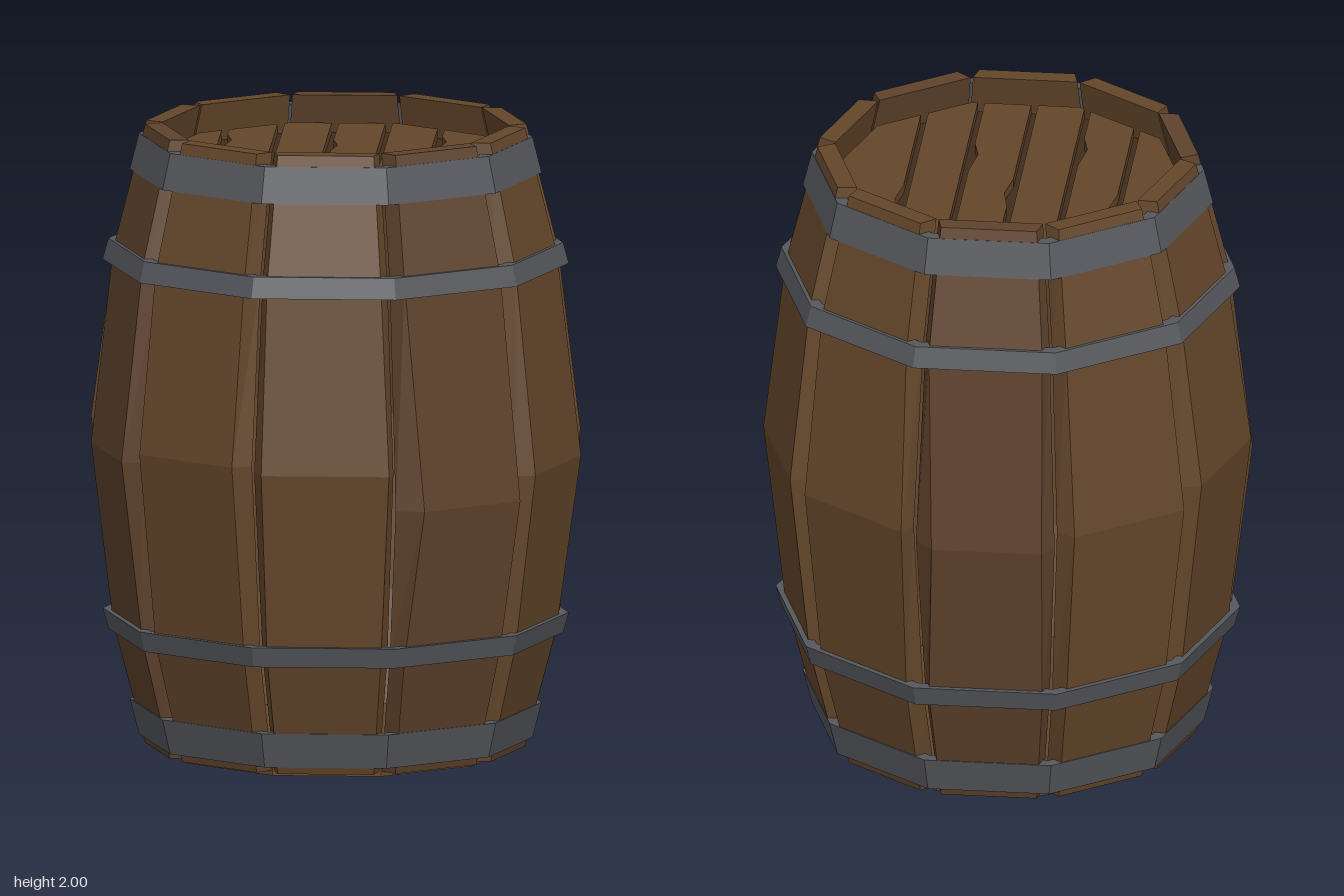
import * as THREE from 'three';

const SIDES = 10;
const STEP = (Math.PI * 2) / SIDES;
const TURN = THREE.MathUtils.degToRad(-6.5); // the whole barrel is turned slightly
const TAN = Math.tan(STEP / 2);

const paint = (color) => new THREE.MeshStandardMaterial({ color, flatShading: true });

// left edge, right edge and height of each stave's belly (hand-cut, so uneven)
const BELLIES = [
  [-0.195, 0.21, 1.0], [-0.15, 0.21, 0.88], [-0.19, 0.21, 0.95], [-0.19, 0.215, 1.02],
  [-0.19, 0.22, 1.0], [-0.165, 0.185, 0.95], [-0.19, 0.21, 1.0], [-0.18, 0.205, 1.05],
  [-0.19, 0.187, 0.98], [-0.19, 0.187, 1.02],
];

// Bowed plank skinned over four-cornered cross-sections
function staveGeometry([left, right, bellyY]) {
  const sections = [ // y, distance from axis, left, right
    [0.015, 0.583, -0.152, 0.152],
    [0.4, 0.68, -0.18, 0.18],
    [bellyY, 0.75, left, right],
    [1.6, 0.68, -0.18, 0.18],
    [2, 0.583, -0.152, 0.152],
  ];
  const pos = [], index = [];
  for (const [y, r, l, rt] of sections) {
    const inner = r - 0.06, w = inner * TAN - 0.004;
    pos.push(l, y, r, rt, y, r, w, y, inner, -w, y, inner);
  }
  for (let i = 0; i < sections.length - 1; i++) {
    for (let j = 0; j < 4; j++) {
      const a = i * 4 + j, b = i * 4 + ((j + 1) % 4);
      index.push(a, b, b + 4, a, b + 4, a + 4);
    }
  }
  const t = (sections.length - 1) * 4;
  index.push(t, t + 1, t + 2, t, t + 2, t + 3, 0, 2, 1, 0, 3, 2);
  const g = new THREE.BufferGeometry();
  g.setAttribute('position', new THREE.Float32BufferAttribute(pos, 3));
  g.setIndex(index);
  g.computeVertexNormals();
  return g;
}

// Ten-sided hoop with a slanted rectangular section
function hoopGeometry(y0, r0, y1, r1) {
  const t = 0.04;
  const profile = [[r0, y0], [r1, y1], [r1 - t, y1], [r0 - t, y0], [r0, y0]];
  return new THREE.LatheGeometry(profile.map((p) => new THREE.Vector2(...p)), SIDES, TURN + STEP / 2);
}

// Lid board: a strip of the decagon, with a nick in each inner edge
const LID_R = 0.555;
const CORNERS = [-90, -54, -18, 18, 54, 90].map((d) => {
  const a = THREE.MathUtils.degToRad(d);
  return [LID_R * Math.sin(a), LID_R * Math.cos(a)];
});
function halfDepth(x) {
  for (let i = 0; i < CORNERS.length - 1; i++) {
    const [x0, z0] = CORNERS[i], [x1, z1] = CORNERS[i + 1];
    if (x <= x1) return z0 + ((z1 - z0) * (x - x0)) / (x1 - x0);
  }
  return 0;
}
function boardGeometry(a, b, nickA, nickB) {
  const xs = [a, ...CORNERS.map((c) => c[0]).filter((x) => x > a + 0.001 && x < b - 0.001), b];
  const pts = xs.map((x) => [x, -halfDepth(x)]);
  if (nickB) pts.push([b, nickB - 0.08], [b - 0.018, nickB], [b, nickB + 0.12]);
  pts.push(...xs.slice().reverse().map((x) => [x, halfDepth(x)]));
  if (nickA) pts.push([a, nickA + 0.1], [a + 0.018, nickA], [a, nickA - 0.1]);
  const shape = new THREE.Shape(pts.map((p) => new THREE.Vector2(...p)));
  const g = new THREE.ExtrudeGeometry(shape, { depth: 0.04, bevelEnabled: false });
  return g.rotateX(-Math.PI / 2);
}

export function createModel() {
  const model = new THREE.Group();
  model.name = 'barrel';
  const woods = [paint(0x65472b), paint(0x5f422c)];
  const lidWood = paint(0x65472b), darkWood = paint(0x3f2c1b), iron = paint(0x56585d);
  const add = (name, geometry, material, parent = model) => {
    const mesh = new THREE.Mesh(geometry, material);
    mesh.name = name;
    parent.add(mesh);
    return mesh;
  };

  // Staves around the axis
  const staves = new THREE.Group();
  staves.name = 'staves';
  model.add(staves);
  BELLIES.forEach((belly, k) => {
    const reddish = k === 1 || k === 5 || k === 8;
    add('stave', staveGeometry(belly), woods[reddish ? 1 : 0], staves).rotation.y = TURN + k * STEP;
  });

  // Wide end hoops and narrow inner hoops, mirrored top to bottom
  add('topHoop', hoopGeometry(1.85, 0.652, 1.965, 0.623), iron);
  add('upperHoop', hoopGeometry(1.56, 0.738, 1.627, 0.72), iron);
  add('lowerHoop', hoopGeometry(0.375, 0.72, 0.44, 0.738), iron);
  add('bottomHoop', hoopGeometry(0.037, 0.623, 0.15, 0.652), iron);

  // Recessed lid of boards over a dark backing
  const lid = new THREE.Group();
  lid.name = 'lid';
  lid.rotation.y = TURN;
  model.add(lid);
  const disc = (h) => new THREE.CylinderGeometry(LID_R, LID_R, h, SIDES, 1, false, STEP / 2);
  add('lidBacking', disc(0.03), darkWood, lid).position.y = 1.865;
  const seams = [-0.37, -0.2, -0.03, 0.14, 0.31];
  const edges = [-LID_R, ...seams, LID_R];
  const nicks = [0, 0.2, -0.22, 0.12, -0.15, 0.2, 0];
  for (let i = 0; i < edges.length - 1; i++) {
    const a = edges[i] + (i > 0 ? 0.011 : 0);
    const b = edges[i + 1] - (i < seams.length ? 0.011 : 0);
    const board = boardGeometry(a, b, i % 2 ? nicks[i] : 0, i % 2 ? nicks[i + 1] : 0);
    add('lidBoard', board, lidWood, lid).position.y = 1.87;
  }

  // Flat base
  const base = add('base', disc(0.05), woods[0]);
  base.position.y = 0.025;
  base.rotation.y = TURN;
  return model;
}
